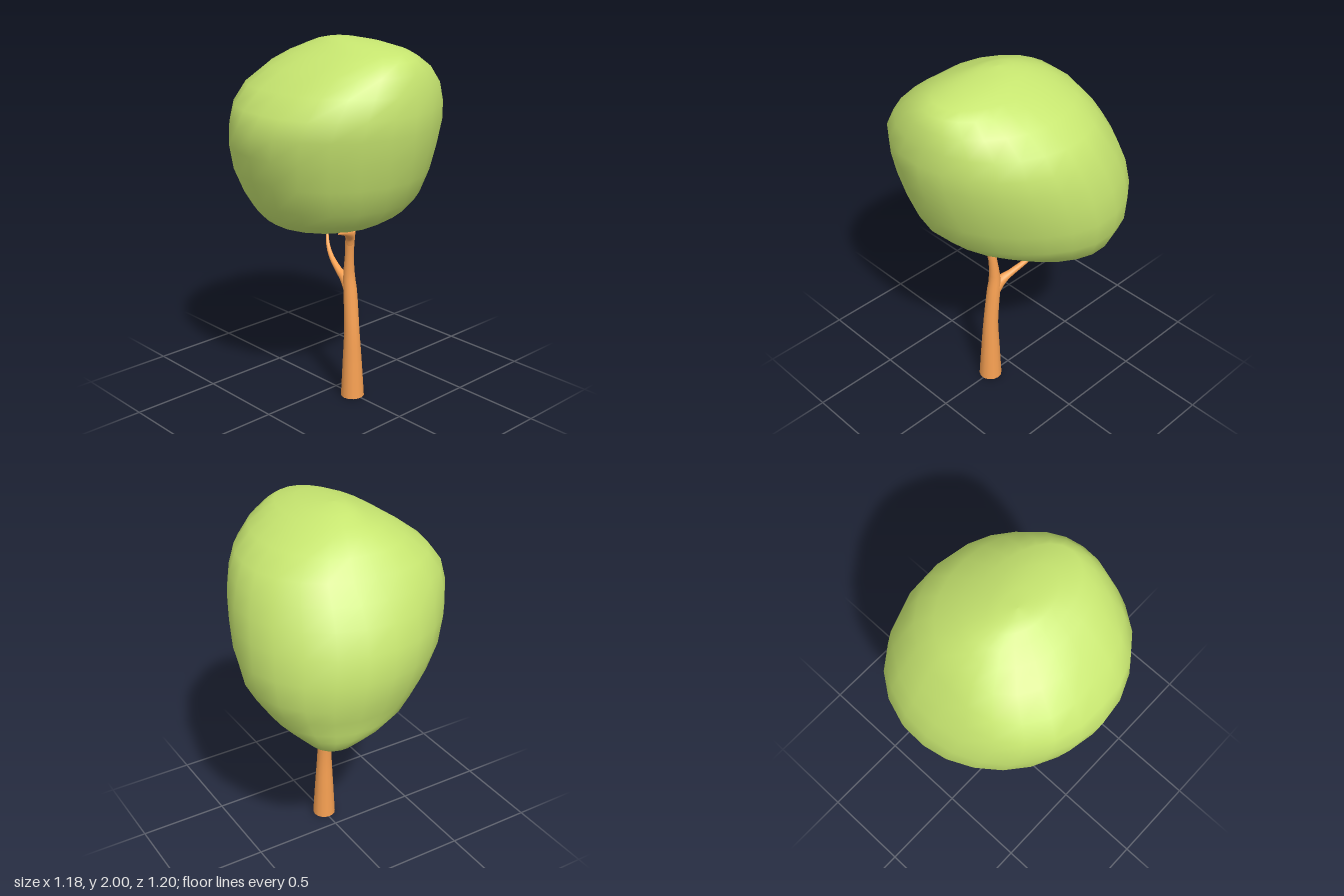
import * as THREE from 'three';

const leafMat = new THREE.MeshStandardMaterial({ color: 0xc7e670 });
const barkMat = new THREE.MeshStandardMaterial({ color: 0xfba354, side: THREE.DoubleSide });

// Tapered limb: a tube along the points [x, y, z, radius], open at its root and closed at its tip
function limb(name, pts, rings = 20, sides = 14) {
  const curve = new THREE.CatmullRomCurve3(pts.map(p => new THREE.Vector3(p[0], p[1], p[2])));
  const geo = new THREE.TubeGeometry(curve, rings, 1, sides, false);
  const pos = geo.attributes.position;
  const v = new THREE.Vector3();
  const group = new THREE.Group();
  group.name = name;
  for (let i = 0; i <= rings; i++) {
    // same spacing as the tube uses, so radii follow their points
    const t = curve.getUtoTmapping(i / rings) * (pts.length - 1);
    const k = Math.min(Math.floor(t), pts.length - 2);
    const r = THREE.MathUtils.lerp(pts[k][3], pts[k + 1][3], t - k);
    const c = curve.getPointAt(i / rings);
    for (let j = 0; j <= sides; j++) {
      const n = i * (sides + 1) + j;
      v.fromBufferAttribute(pos, n).sub(c).multiplyScalar(r).add(c);
      pos.setXYZ(n, v.x, v.y, v.z);
    }
  }
  const tip = pts[pts.length - 1];
  const cap = new THREE.Mesh(new THREE.CircleGeometry(tip[3], sides), barkMat);
  cap.position.set(tip[0], tip[1], tip[2]);
  cap.quaternion.setFromUnitVectors(new THREE.Vector3(0, 0, 1), curve.getTangentAt(1));
  group.add(new THREE.Mesh(geo, barkMat), cap);
  return group;
}

// Crown sections: [y, xMin, xMax, zMin, zMax]
const sections = [
  [0.838, -0.32, -0.32, -0.22, -0.22],
  [0.843, -0.40, -0.25, -0.29, -0.14],
  [0.868, -0.44, -0.17, -0.34, -0.06],
  [0.90, -0.47, -0.07, -0.375, 0.01],
  [0.95, -0.505, 0.08, -0.43, 0.16],
  [1.00, -0.52, 0.22, -0.48, 0.30],
  [1.08, -0.54, 0.36, -0.53, 0.40],
  [1.17, -0.572, 0.45, -0.575, 0.47],
  [1.31, -0.595, 0.515, -0.60, 0.545],
  [1.45, -0.575, 0.56, -0.59, 0.585],
  [1.57, -0.525, 0.585, -0.57, 0.603],
  [1.67, -0.465, 0.59, -0.535, 0.56],
  [1.77, -0.395, 0.57, -0.485, 0.465],
  [1.86, -0.325, 0.55, -0.38, 0.355],
  [1.92, -0.24, 0.51, -0.27, 0.26],
  [1.95, -0.18, 0.46, -0.21, 0.19],
  [1.98, -0.10, 0.32, -0.13, 0.13],
  [1.995, -0.03, 0.16, -0.06, 0.08],
  [2.0, 0.05, 0.05, 0.02, 0.02]
];

// Swelling of the four diagonal quarters by height: [y, +x+z, -x+z, -x-z, +x-z]
const swells = [
  [0.84, 0.04, -0.04, 0.06, -0.06],
  [1.10, 0.13, -0.04, 0.07, -0.12],
  [1.35, 0.04, -0.04, 0.04, -0.08],
  [1.57, 0.01, -0.01, 0.04, -0.04],
  [1.80, 0.07, 0.14, 0.04, -0.02],
  [2.00, 0, 0, 0, 0]
];

function swell(y, a) {
  const k = Math.min(swells.findLastIndex(s => s[0] <= y), swells.length - 2);
  const k0 = Math.max(k, 0);
  const t = Math.max(0, (y - swells[k0][0]) / (swells[k0 + 1][0] - swells[k0][0]));
  const quarter = 1 + Math.floor(a / (Math.PI / 2));
  const amount = THREE.MathUtils.lerp(swells[k0][quarter], swells[k0 + 1][quarter], t);
  return 1 + amount * Math.abs(Math.sin(2 * a));
}

// Leaning crown, lofted from oval sections
function crown(sides = 24) {
  const verts = [], index = [];
  sections.forEach(([y, x0, x1, z0, z1], i) => {
    for (let j = 0; j < sides; j++) {
      const a = j / sides * Math.PI * 2;
      const s = swell(y, a);
      verts.push((x0 + x1) / 2 + (x1 - x0) / 2 * Math.cos(a) * s, y,
        (z0 + z1) / 2 + (z1 - z0) / 2 * Math.sin(a) * s);
      if (i === sections.length - 1) continue;
      const p = i * sides + j, q = i * sides + (j + 1) % sides;
      index.push(p, p + sides, q, q, p + sides, q + sides);
    }
  });
  const geo = new THREE.BufferGeometry();
  geo.setAttribute('position', new THREE.Float32BufferAttribute(verts, 3));
  geo.setIndex(index);
  geo.computeVertexNormals();
  const mesh = new THREE.Mesh(geo, leafMat);
  mesh.name = 'crown';
  return mesh;
}

export function createModel() {
  const tree = new THREE.Group();
  tree.name = 'tree';
  tree.add(crown());

  // Trunk, flared at the foot and slightly at the upper fork
  tree.add(limb('trunk', [
    [0.14, 0, 0.005, 0.065], [0.137, 0.2, 0.005, 0.054], [0.132, 0.4, 0.005, 0.042],
    [0.113, 0.62, 0, 0.038], [0.104, 0.7, 0, 0.033], [0.11, 0.82, 0.005, 0.024],
    [0.122, 0.91, 0.012, 0.025], [0.13, 0.972, 0.018, 0.029]
  ]));

  // Long thin branch from the lower fork
  tree.add(limb('lowerBranch', [
    [0.115, 0.6, 0, 0.032], [0.065, 0.67, -0.01, 0.031], [0.005, 0.695, -0.022, 0.02],
    [-0.1, 0.752, -0.055, 0.014], [-0.16, 0.81, -0.085, 0.01], [-0.195, 0.875, -0.115, 0.006]
  ]));

  // Short forward branch at the top of the trunk
  tree.add(limb('upperBranch', [
    [0.118, 0.88, 0.01, 0.02], [0.14, 0.947, 0.03, 0.027],
    [0.178, 0.985, 0.095, 0.015], [0.21, 1.01, 0.18, 0.004]
  ]));
  return tree;
}
